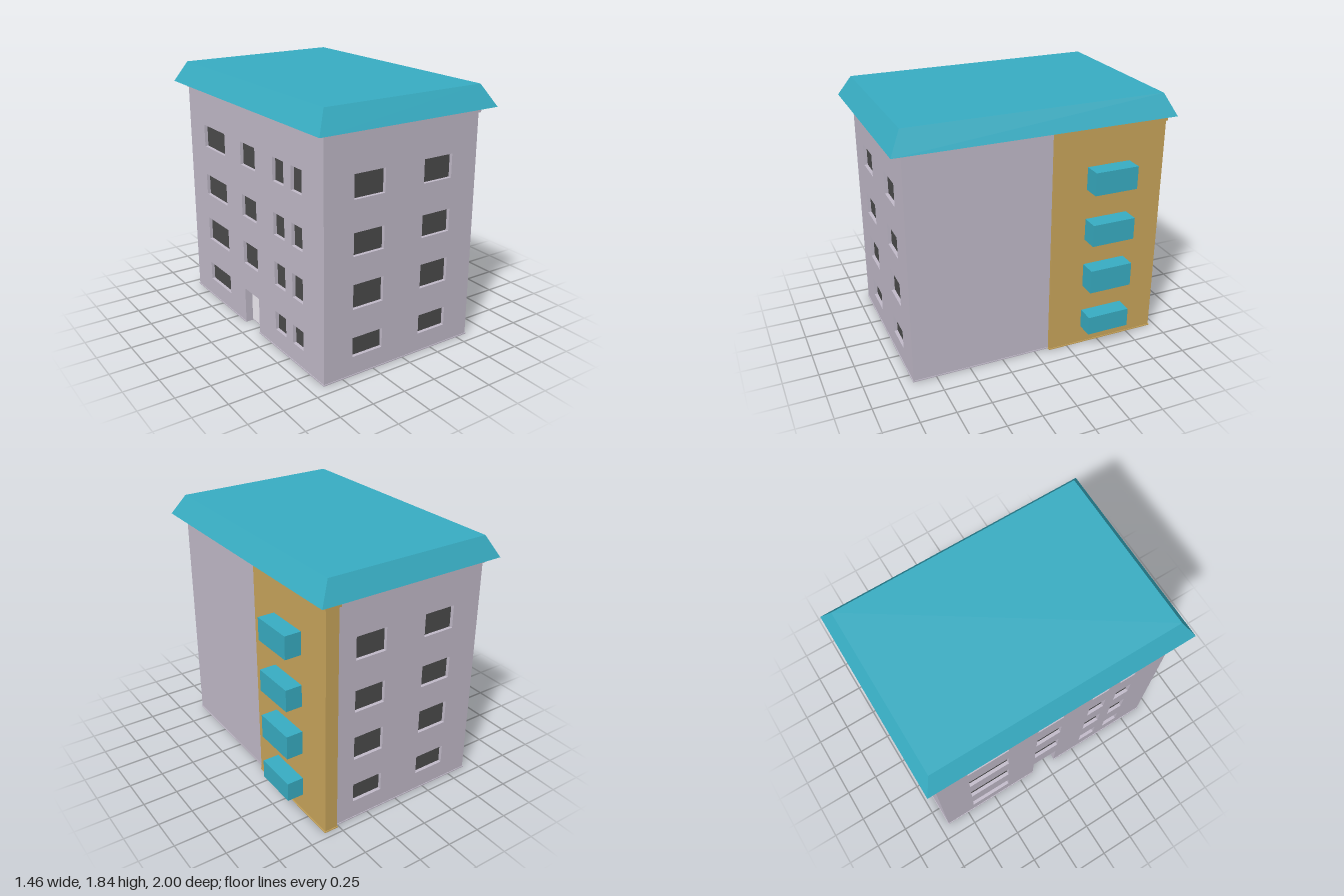
import * as THREE from 'three';

const material = (color) => new THREE.MeshStandardMaterial({ color, roughness: 0.9 });

export function createModel() {
  const lilac = material(0xc1bac9), ochre = material(0xc9a55b), teal = material(0x38adc3);
  const dark = material(0x4b4b4b), pale = material(0xf0ecf4);
  const model = new THREE.Group();
  model.name = 'apartmentBlock';

  // Body limits, wall thickness and the four storeys of openings
  const L = -0.645, R = 0.585, F = 0.915, B = -0.93, H = 1.69, T = 0.06, RECESS = 0.025;
  const rows = [[0.14, 0.28], [0.485, 0.66], [0.855, 1.015], [1.235, 1.4]];
  const door = { z0: -0.13, z1: 0.075, top: 0.275 };

  function add(parent, name, geometry, mat) {
    const mesh = new THREE.Mesh(geometry, mat);
    mesh.name = name;
    parent.add(mesh);
    return mesh;
  }

  // Box given by its limits on each axis
  function box(parent, name, [x0, x1], [y0, y1], [z0, z1], mat) {
    const mesh = add(parent, name, new THREE.BoxGeometry(x1 - x0, y1 - y0, z1 - z0), mat);
    mesh.position.set((x0 + x1) / 2, (y0 + y1) / 2, (z0 + z1) / 2);
    return mesh;
  }

  // Wall slab facing local +z, with window holes and recessed glass
  function wall(name, u0, u1, columns, doorway) {
    const group = new THREE.Group();
    group.name = name;
    const outline = [[u0, 0]];
    if (doorway) {
      const { z0, z1, top } = doorway;
      outline.push([z0, 0], [z0, top], [z1, top], [z1, 0]);
    }
    outline.push([u1, 0], [u1, H], [u0, H]);
    const shape = new THREE.Shape(outline.map(([x, y]) => new THREE.Vector2(x, y)));
    for (const [a, b] of columns) {
      rows.forEach(([y0, y1], floor) => {
        if (doorway && floor === 0 && a === doorway.z0) return;
        shape.holes.push(new THREE.Path([[a, y0], [a, y1], [b, y1], [b, y0]]
          .map(([x, y]) => new THREE.Vector2(x, y))));
        box(group, 'windowGlass', [a, b], [y0, y1], [0, T - RECESS], dark);
      });
    }
    add(group, name + 'Panel', new THREE.ExtrudeGeometry(shape, { depth: T, bevelEnabled: false }), lilac);
    model.add(group);
    return group;
  }

  // Solid core and the three windowed walls around it
  box(model, 'core', [L + T, R], [0, H], [B + T, F - T], lilac);
  wall('frontWall', L, R, [[-0.42, -0.18], [0.135, 0.37]]).position.z = F - T;

  const back = wall('backWall', -R, -L, [[-0.37, -0.135], [0.18, 0.42]]);
  back.rotation.y = Math.PI;
  back.position.z = B + T;

  const side = wall('rightHandWall', B + T, F - T,
    [[-0.69, -0.365], [door.z0, door.z1], [0.31, 0.45], [0.54, 0.67]], door);
  side.rotation.y = -Math.PI / 2;
  side.position.x = L + T;
  box(side, 'door', [door.z0, door.z1], [0.01, door.top], [0, 0.004], pale);

  // Ochre cladding wrapping the back corner
  box(model, 'cladding', [0.515, 0.61], [0, H], [-0.95, -0.11], ochre);

  // Cornice under the eaves
  box(model, 'cornice', [L - 0.01, R + 0.01], [1.65, H], [B - 0.01, F + 0.013], lilac);
  box(model, 'claddingCornice', [0.505, 0.62], [1.65, H], [-0.958, -0.105], ochre);

  // Thin plinth, cut away at the doorway
  const P = 0.005, h = 0.008;
  const plan = new THREE.Shape([
    [L - P, B - P], [R + P, B - P], [R + P, F + P], [L - P, F + P],
    [L - P, door.z1], [L + T, door.z1], [L + T, door.z0], [L - P, door.z0],
  ].map(([x, z]) => new THREE.Vector2(x, z)));
  const plinth = new THREE.ExtrudeGeometry(plan, { depth: h, bevelEnabled: false });
  plinth.rotateX(Math.PI / 2).translate(0, h, 0);
  add(model, 'plinth', plinth, lilac);
  box(model, 'claddingPlinth', [0.51, 0.615], [0, h], [-0.955, -0.107], ochre);

  // Balconies, one per storey
  for (const y of rows) box(model, 'balcony', [0.6, 0.73], y, [-0.68, -0.36], teal);

  // Flat-topped roof with sloping sides
  const roof = new THREE.BoxGeometry(2, 2, 2);
  const p = roof.attributes.position;
  for (let i = 0; i < p.count; i++) {
    const top = p.getY(i) > 0, right = p.getX(i) > 0, front = p.getZ(i) > 0;
    if (top) p.setXYZ(i, right ? R : L, 1.84, front ? F : B);
    else p.setXYZ(i, right ? 0.67 : -0.73, H, front ? 1 : -1);
  }
  roof.computeVertexNormals();
  add(model, 'roof', roof, teal);

  return model;
}
